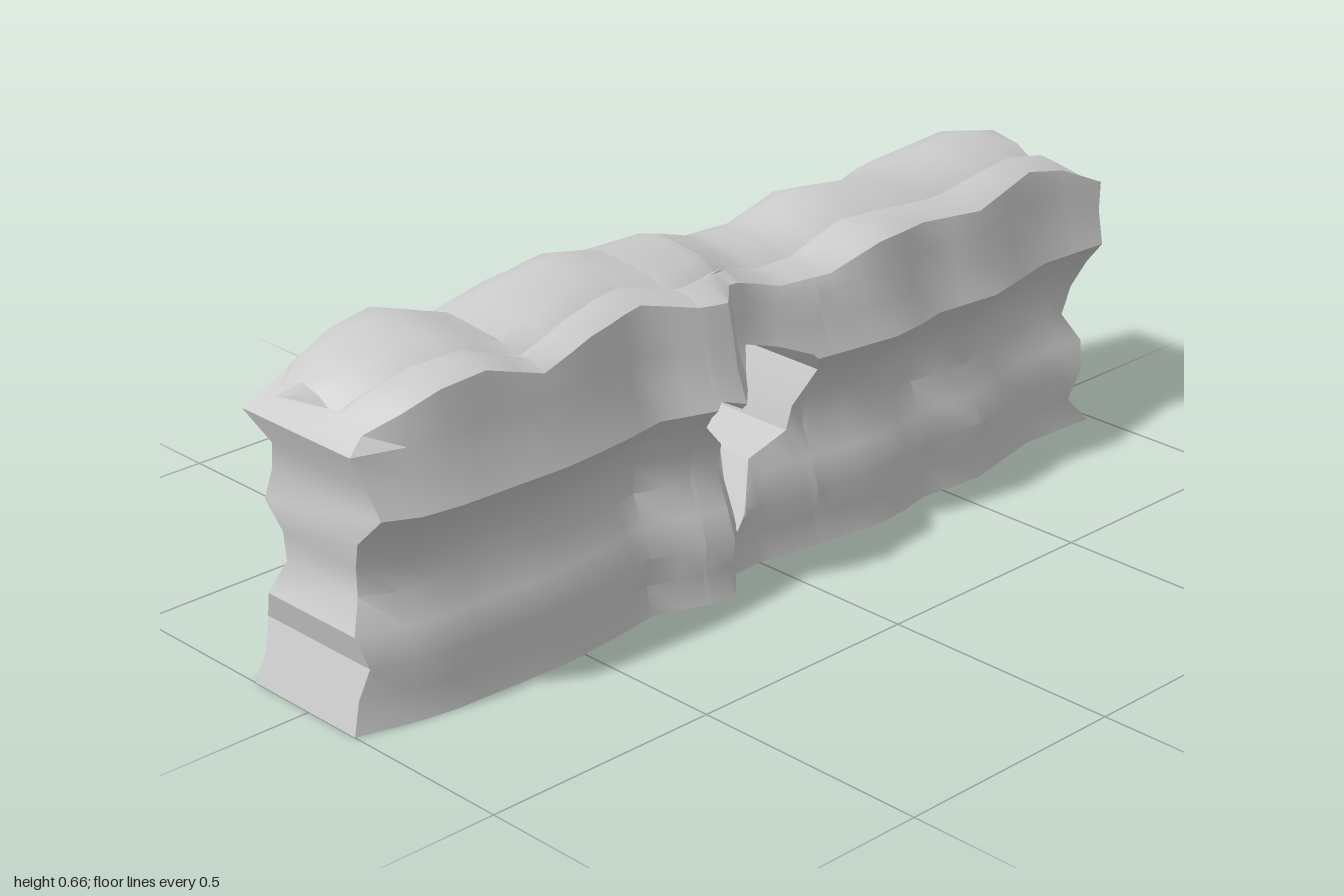
import * as THREE from 'three';
import { toCreasedNormals } from 'three/addons/utils/BufferGeometryUtils.js';

// Piecewise linear lookup through [position, value] pairs
function at(table, p) {
  if (p <= table[0][0]) return table[0][1];
  for (let i = 1; i < table.length; i++) {
    const [a, u] = table[i - 1], [b, v] = table[i];
    if (p <= b) return u + (v - u) * (p - a) / (b - a);
  }
  return table[table.length - 1][1];
}

// Outlines along the wall (z): crest height, half widths of both sides, crack position
const crest = [[-1, .59], [-.95, .605], [-.8, .635], [-.6, .615], [-.4, .63], [-.3, .632], [-.18, .595], [-.06, .597],
  [.05, .632], [.2, .64], [.32, .667], [.45, .65], [.57, .617], [.7, .66], [.8, .653], [.93, .61], [1, .595]];
const leftWidth = [[-1, .165], [-.8, .155], [-.6, .2], [-.45, .185], [-.32, .212], [-.2, .195], [0, .165], [.07, .17],
  [.1, .2], [.14, .238], [.19, .228], [.31, .185], [.4, .2], [.55, .215], [.8, .205], [.9, .19], [1, .16]];
const rightWidth = [[-1, .17], [-.8, .215], [-.58, .232], [-.45, .158], [-.3, .205], [0, .225], [.2, .215], [.4, .2],
  [.7, .24], [.9, .205], [1, .175]];
const crack = [[-1, .02], [-.7, .03], [-.5, .05], [-.3, .03], [0, .04], [.1, .07], [.18, .09], [.3, .05], [.55, .09],
  [.8, .05], [1, .015]];

// Strata: heights, and how far each is set back on the two sides and the two ends
const levels = [0, .06, .12, .18, .24, .3, .355, .41, .475, .53];
const leftInset = [.03, .04, .03, .05, .075, .07, .05, 0, .025, .035, .05];
const rightInset = [.02, .03, .015, .04, .06, .06, .025, .03, .055, 0, .045];
const frontEnd = [1, .98, .96, .975, .945, .95, .96, .945, .96, .98, .94];
const backEnd = [.985, .93, .955, .975, .94, .96, .985, .97, .985, 1, .955];

// Lower and upper edges of the hole
const holeBottom = [[-.14, .37], [-.11, .29], [-.1, .24], [0, .21], [.04, .13], [.06, .085], [.09, .14], [.1, .21],
  [.11, .275], [.19, .36], [.2, .39]];
const holeTop = [[-.14, .37], [-.1, .42], [-.03, .45], [.05, .475], [.07, .42], [.09, .368], [.19, .425], [.2, .39]];

// One cross-section: up the left side, over the crest, down the right side
function section(z, lo = 0, hi = 9) {
  const top = at(crest, z);
  const ys = [...levels, top - .04];
  const clamp = y => Math.min(Math.max(y, lo), hi);
  const end = z >= 1 ? frontEnd : z <= -1 ? backEnd : null;
  const endZ = i => end ? Math.sign(z) * end[i] : z;
  const side = (width, inset) => ys.map((y, i) => {
    const yy = clamp(y);
    return [at(width, z) - at(ys.map((v, k) => [v, inset[k]]), yy), yy, endZ(i)];
  });
  const left = side(leftWidth, leftInset);
  const right = side(rightWidth, rightInset).map(([x, y, w]) => [-x, y, w]);
  const xl = left[10][0], xr = right[10][0], c = at(crack, z);
  const cap = [[xl - .035, .025], [c + .025, .022], [c, .036], [c - .04, .012], [xr * .55, 0], [xr * .82, .013]]
    .map(([x, drop]) => [x, clamp(top - drop), end ? Math.sign(z) * .925 : z]);
  return { left, right, cap, ring: [...left, ...cap, ...right.slice().reverse()] };
}

function triangle(out, a, b, c) {
  const [p, q, r] = [a, b, c].map(v => new THREE.Vector3(...v));
  if (q.sub(p).cross(r.sub(p)).length() > 1e-8) out.push(...a, ...b, ...c);
}

function quad(out, a, b, c, d) {
  triangle(out, a, b, c);
  triangle(out, a, c, d);
}

// Skin between successive cross-sections, from back to front
function loft(out, sections) {
  for (let s = 1; s < sections.length; s++) {
    const a = sections[s - 1].ring, b = sections[s].ring, n = a.length;
    for (let i = 0; i < n; i++) {
      const j = (i + 1) % n;
      quad(out, a[i], a[j], b[j], b[i]);
    }
  }
}

// Layered end face
function endFace(out, { left, right, cap }, front) {
  const tri = (a, b, c) => front ? triangle(out, a, b, c) : triangle(out, a, c, b);
  for (let i = 0; i < 10; i++) {
    tri(right[i], left[i], left[i + 1]);
    tri(right[i], left[i + 1], right[i + 1]);
  }
  const rim = [left[10], ...cap];
  for (let i = 1; i < rim.length; i++) tri(right[10], rim[i - 1], rim[i]);
}

function stone(name, build) {
  const out = [];
  build(out);
  const geometry = new THREE.BufferGeometry();
  geometry.setAttribute('position', new THREE.Float32BufferAttribute(out, 3));
  const mesh = new THREE.Mesh(toCreasedNormals(geometry, .55),
    new THREE.MeshStandardMaterial({ color: 0xcccccc, side: THREE.DoubleSide }));
  mesh.name = name;
  return mesh;
}

export function createModel() {
  const group = new THREE.Group();
  group.name = 'rockWall';

  // Solid lengths behind and in front of the hole
  const back = [-1, -.9, -.8, -.7, -.6, -.52, -.45, -.38, -.3, -.24, -.18, -.14].map(z => section(z));
  const front = [.2, .25, .31, .36, .4, .45, .5, .57, .63, .7, .75, .8, .88, 1].map(z => section(z));
  group.add(stone('backWall', out => { loft(out, back); endFace(out, back[0], false); }));
  group.add(stone('frontWall', out => { loft(out, front); endFace(out, front[front.length - 1], true); }));

  // Rock below and above the hole
  const span = [-.14, -.11, -.1, -.06, -.03, 0, .04, .05, .06, .07, .09, .1, .11, .14, .19, .2];
  group.add(stone('wallBelowHole', out => loft(out, span.map(z => section(z, 0, at(holeBottom, z))))));
  group.add(stone('wallAboveHole', out => loft(out, span.map(z => section(z, at(holeTop, z))))));
  return group;
}
